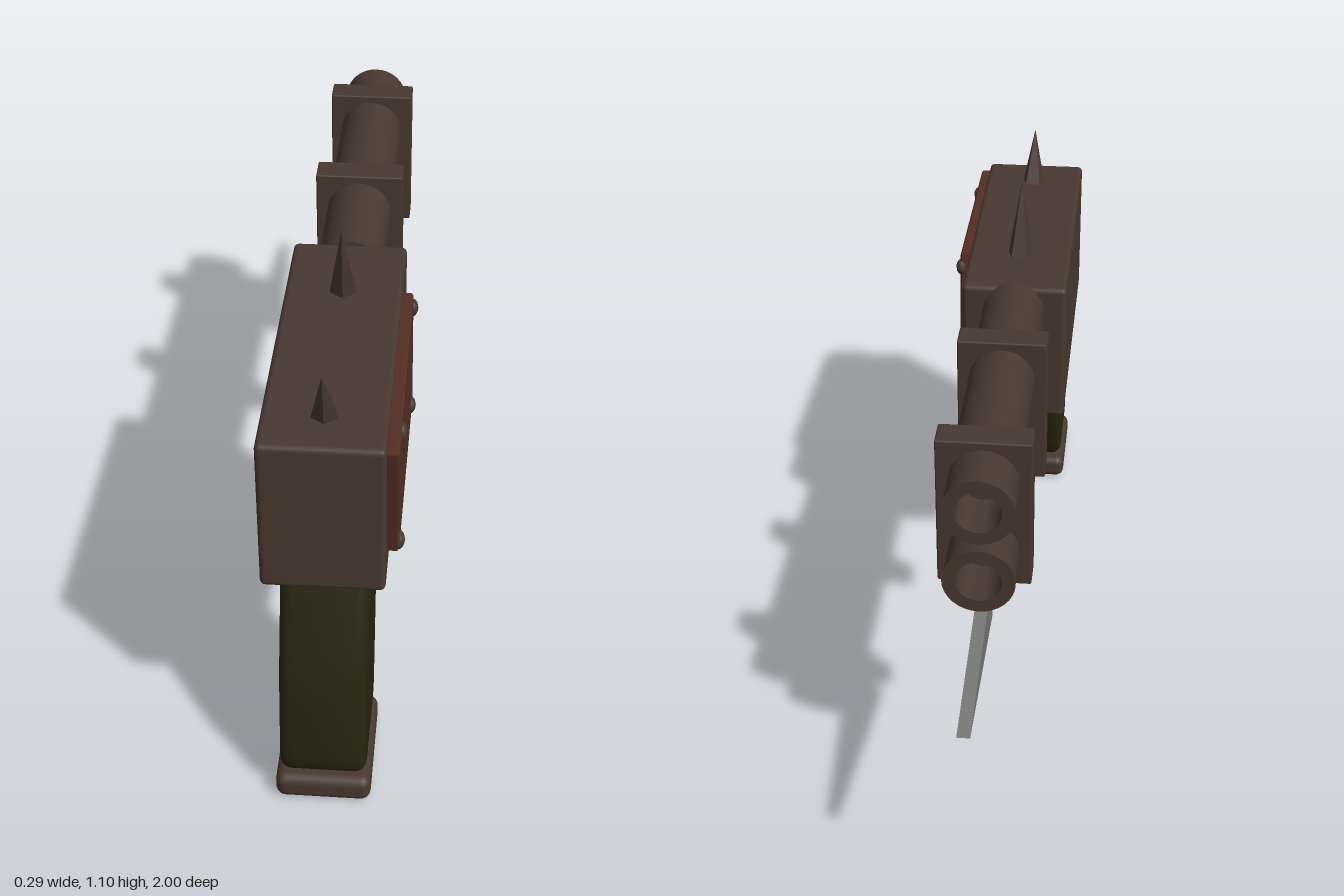
import * as THREE from 'three';
import { toCreasedNormals } from 'three/addons/utils/BufferGeometryUtils.js';
import { RoundedBoxGeometry } from 'three/addons/geometries/RoundedBoxGeometry.js';

const CX = -0.018; // centre plane of the gun

function material(name, color) {
  const m = new THREE.MeshStandardMaterial({ color });
  m.name = name;
  return m;
}

// Closed outline from [z, y] points, corners rounded by r
function outline(points, r = 0) {
  const p = points.map(([z, y]) => new THREE.Vector2(-z, y));
  if (!r) return new THREE.Shape(p);
  const s = new THREE.Shape();
  p.forEach((c, i) => {
    const a = p[(i + p.length - 1) % p.length], b = p[(i + 1) % p.length];
    const toward = (q) => c.clone().add(q.clone().sub(c).setLength(Math.min(r, q.distanceTo(c) * 0.45)));
    const s0 = toward(a), s1 = toward(b);
    if (i === 0) s.moveTo(s0.x, s0.y); else s.lineTo(s0.x, s0.y);
    s.quadraticCurveTo(c.x, c.y, s1.x, s1.y);
  });
  s.closePath();
  return s;
}

// Side profile extruded across x from x0 to x1
function slab(shape, x0, x1, bevel = 0, segments = 1) {
  const g = new THREE.ExtrudeGeometry(shape, {
    depth: x1 - x0 - 2 * bevel, bevelEnabled: bevel > 0, bevelThickness: bevel,
    bevelSize: bevel, bevelOffset: -bevel, bevelSegments: segments, curveSegments: 4,
  });
  g.translate(0, 0, x0 + bevel).rotateY(Math.PI / 2);
  return toCreasedNormals(g, 0.6);
}

export function createModel() {
  const brown = material('brown metal', 0x483830);
  const rust = material('rusty red', 0x552e24);
  const olive = material('dark olive', 0x26250f);
  const steel = material('grey steel', 0x767674);

  const model = new THREE.Group();
  model.name = 'doubleBarrelPistol';
  const add = (name, geometry, mat, x = 0, y = 0, z = 0) => {
    const mesh = new THREE.Mesh(geometry, mat);
    mesh.name = name;
    mesh.position.set(x, y, z);
    model.add(mesh);
    return mesh;
  };

  // Receiver
  add('receiver', new RoundedBoxGeometry(0.257, 0.362, 0.75, 2, 0.012), brown, CX, 0.741, 0.555);

  // Hollow barrels, one above the other
  const profile = [[0, 0], [0.076, 0], [0.076, 0.83], [0.079, 0.875], [0.05, 0.875], [0.048, 0.7], [0, 0.7]];
  const barrel = toCreasedNormals(
    new THREE.LatheGeometry(profile.map(([r, h]) => new THREE.Vector2(r, h)), 32).rotateX(-Math.PI / 2), 0.6);
  add('upperBarrel', barrel, brown, CX, 0.857, 0.19);
  add('lowerBarrel', barrel, brown, CX, 0.681, 0.19);

  // Barrel clamps
  for (const z of [-0.11, -0.53])
    add('barrelClamp', new RoundedBoxGeometry(0.207, 0.362, 0.07, 1, 0.004), brown, CX, 0.77, z);

  // Bayonet under the muzzle
  add('bayonet', slab(outline([[-0.53, 0.587], [-0.53, 0.472], [-1, 0.53]]), -0.033, -0.005), steel);

  // Grip and its base plate
  const gripPoints = [[0.875, 0.575], [0.965, 0.32], [1, 0.072], [0.728, 0.072], [0.665, 0.35], [0.595, 0.575]];
  add('grip', slab(outline(gripPoints, 0.05), -0.112, 0.076, 0.026, 4), olive);
  add('gripBase', new RoundedBoxGeometry(0.207, 0.063, 0.27, 3, 0.022), brown, CX, 0.0315, 0.865);

  // Trigger guard loop
  const guard = outline([[0.66, 0.567], [0.39, 0.567], [0.335, 0.5], [0.365, 0.375], [0.445, 0.34], [0.69, 0.355]]);
  guard.holes.push(outline([[0.63, 0.53], [0.405, 0.53], [0.375, 0.485], [0.395, 0.395], [0.445, 0.375], [0.65, 0.382]]));
  add('triggerGuard', slab(guard, CX - 0.034, CX + 0.034, 0.005), brown);

  // Curved trigger
  const trigger = [[0.61, 0.56], [0.535, 0.56], [0.54, 0.49], [0.522, 0.44], [0.56, 0.405], [0.58, 0.46], [0.6, 0.52]];
  add('trigger', slab(outline(trigger), CX - 0.022, CX + 0.022, 0.003), steel);

  // Skewed side plate with four rivets
  const plate = [[0.914, 0.904], [0.364, 0.916], [0.314, 0.586], [0.866, 0.617]];
  add('sidePlate', slab(outline(plate), 0.106, 0.134, 0.004), rust);
  for (const [z, y] of [[0.807, 0.88], [0.367, 0.88], [0.847, 0.632], [0.395, 0.635]]) {
    const rivet = add('plateRivet', new THREE.SphereGeometry(0.02, 12, 8), brown, 0.132, y, z);
    rivet.scale.x = 0.65;
  }

  // Spikes leaning back on the top
  for (const [z, y, lean, h] of [[0.365, 0.895, 0.26, 0.212], [0.808, 0.89, 0.36, 0.172]]) {
    const cone = new THREE.ConeGeometry(0.037, h, 5).translate(0, h / 2, 0);
    const spike = add('topSpike', toCreasedNormals(cone, 0.3), brown, CX, y, z);
    spike.rotation.x = lean;
  }

  return model;
}
